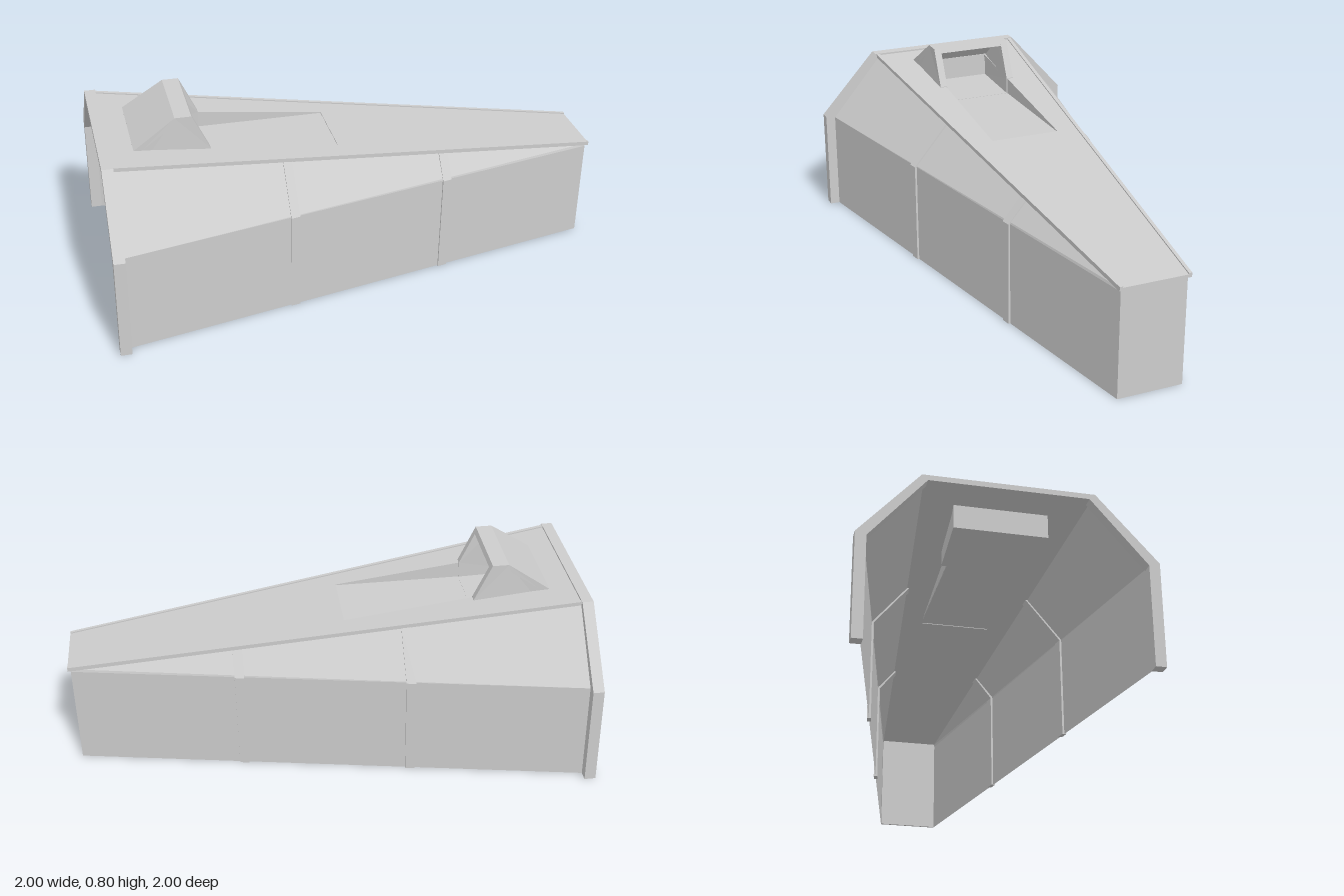
import * as THREE from 'three';

const lerp = THREE.MathUtils.lerp;
const grey = new THREE.MeshStandardMaterial({ color: 0xcccccc, side: THREE.DoubleSide });
grey.name = 'hullGrey';

// Hull runs along s, from the wide mouth to the narrow tail (local z = -s).
const MOUTH = -0.785, TAIL = 1.262, SHOULDER = 0.425;
const roofTop = s => 0.695 - 0.1215 * (s - MOUTH);

// Half section at s: foot, shoulder, roof edge, pushed outwards by off
function halfSection(s, off = 0) {
  const u = (s - MOUTH) / (TAIL - MOUTH);
  const w = lerp(0.542, 0.131, u) + off;
  return [[w, 0], [w, SHOULDER], [lerp(0.325, 0.128, u) + off, roofTop(s) - 0.011]];
}

const mirror = pts => pts.map(([x, y]) => [-x, y]).reverse();

// Flat-faced skin between two outlines of equal length
function loft(a, sa, b, sb, closed = true) {
  const pos = [];
  const put = (p, s) => pos.push(p[0], p[1], -s);
  const n = a.length;
  for (let i = 0; i < (closed ? n : n - 1); i++) {
    const j = (i + 1) % n;
    put(a[i], sa); put(a[j], sa); put(b[j], sb);
    put(a[i], sa); put(b[j], sb); put(b[i], sb);
  }
  if (closed) {
    const tris = THREE.ShapeUtils.triangulateShape(a.map(p => new THREE.Vector2(...p)), []);
    for (const [i, j, k] of tris) {
      put(a[i], sa); put(a[k], sa); put(a[j], sa);
      put(b[i], sb); put(b[j], sb); put(b[k], sb);
    }
  }
  const g = new THREE.BufferGeometry();
  g.setAttribute('position', new THREE.Float32BufferAttribute(pos, 3));
  g.computeVertexNormals();
  return g;
}

// Side profile of [s, y] points extruded across x
function across(profile, x0, x1) {
  const shape = new THREE.Shape(profile.map(p => new THREE.Vector2(...p)));
  const g = new THREE.ExtrudeGeometry(shape, { depth: x1 - x0, bevelEnabled: false });
  return g.translate(0, 0, x0).rotateY(Math.PI / 2);
}

// Plan outline of [x, s] points made into a plate lying on the roof slope
function roofPlate(outline, thick, lift, hole) {
  const shape = new THREE.Shape(outline.map(p => new THREE.Vector2(...p)));
  if (hole) shape.holes.push(new THREE.Path(hole.map(p => new THREE.Vector2(...p))));
  const g = new THREE.ExtrudeGeometry(shape, { depth: thick, bevelEnabled: false }).rotateX(-Math.PI / 2);
  const p = g.attributes.position;
  for (let i = 0; i < p.count; i++) p.setY(i, p.getY(i) + roofTop(-p.getZ(i)) + lift);
  g.computeVertexNormals();
  return g;
}

// The hood narrows a little from its front edge to its crest
function taperHood(g) {
  const p = g.attributes.position;
  for (let i = 0; i < p.count; i++) {
    const u = THREE.MathUtils.clamp((-p.getZ(i) + 0.69) / 0.17, 0, 1);
    p.setX(i, p.getX(i) * lerp(1, 0.91, u));
  }
  g.computeVertexNormals();
  return g;
}

export function createModel() {
  const model = new THREE.Group();
  const body = new THREE.Group();
  body.name = 'body';
  body.rotation.y = -Math.PI / 4;
  model.add(body);
  const add = (name, geometry) => {
    const m = new THREE.Mesh(geometry, grey);
    m.name = name;
    body.add(m);
  };

  // Side walls, ribs and roof edge rails, mirrored
  for (const side of [1, -1]) {
    const tag = side > 0 ? 'left' : 'right';
    const flip = pts => (side > 0 ? pts : pts.map(([x, y]) => [-x, y]));
    add(tag + 'Wall', loft(flip(halfSection(MOUTH)), MOUTH, flip(halfSection(TAIL)), TAIL, false));
    for (const s of [-0.106, 0.571]) {
      const ring = q => flip([...halfSection(q, 0.008), ...halfSection(q, -0.008).reverse()]);
      add(tag + 'Rib', loft(ring(s), s, ring(s + 0.038), s + 0.038));
    }
    add(tag + 'RoofRail', roofPlate(
      flip([[0.332, MOUTH], [0.141, 1.273], [0.128, 1.273], [0.316, MOUTH]]), 0.006, -0.001));
  }

  // Tail wall
  const tail = halfSection(TAIL);
  add('tailWall', loft([...tail, ...mirror(tail)], TAIL - 0.01, [...tail, ...mirror(tail)], TAIL));

  // Thick arch around the mouth
  const outer = [[0.583, 0], [0.583, 0.43], [0.338, 0.702]];
  const inner = [[0.54, 0], [0.54, 0.418], [0.315, 0.68]];
  const arch = [...outer, ...mirror(outer), ...mirror(inner).reverse(), ...inner.slice().reverse()];
  add('mouthRim', loft(arch, -0.831, arch, MOUTH));

  // Sloping roof with the sunken channel cut out
  add('roof', roofPlate(
    [[-0.33, MOUTH], [0.33, MOUTH], [0.141, 1.273], [-0.141, 1.273]], 0.012, -0.012,
    [[-0.145, -0.66], [-0.145, 0.15], [0.145, 0.15], [0.145, -0.66]]));

  // Channel floor and walls, running level until they meet the roof
  add('channelFloor', across([[-0.4, 0.572], [0.155, 0.572], [0.155, 0.578], [-0.4, 0.578]], -0.15, 0.15));
  for (const x of [-0.151, 0.145]) {
    add('channelWall', across([[-0.38, 0.574], [0.15, 0.574], [0.15, 0.578], [-0.38, 0.642]], x, x + 0.006));
  }

  // Hood: solid cheeks, sloped cover open at the back, and the pod below
  const cheek = [[-0.69, 0.575], [-0.38, 0.575], [-0.38, 0.648], [-0.453, 0.8], [-0.52, 0.8], [-0.69, 0.684]];
  for (const x of [-0.188, 0.155]) add('hoodCheek', taperHood(across(cheek, x, x + 0.033)));
  add('hoodCover', taperHood(across(
    [[-0.69, 0.684], [-0.65, 0.684], [-0.51, 0.78], [-0.444, 0.78], [-0.453, 0.8], [-0.52, 0.8]], -0.188, 0.188)));
  add('podFront', taperHood(across([[-0.69, 0.575], [-0.67, 0.575], [-0.67, 0.686], [-0.69, 0.684]], -0.188, 0.188)));
  add('podFloor', taperHood(across([[-0.69, 0.572], [-0.38, 0.572], [-0.38, 0.579], [-0.69, 0.579]], -0.188, 0.188)));

  return model;
}
